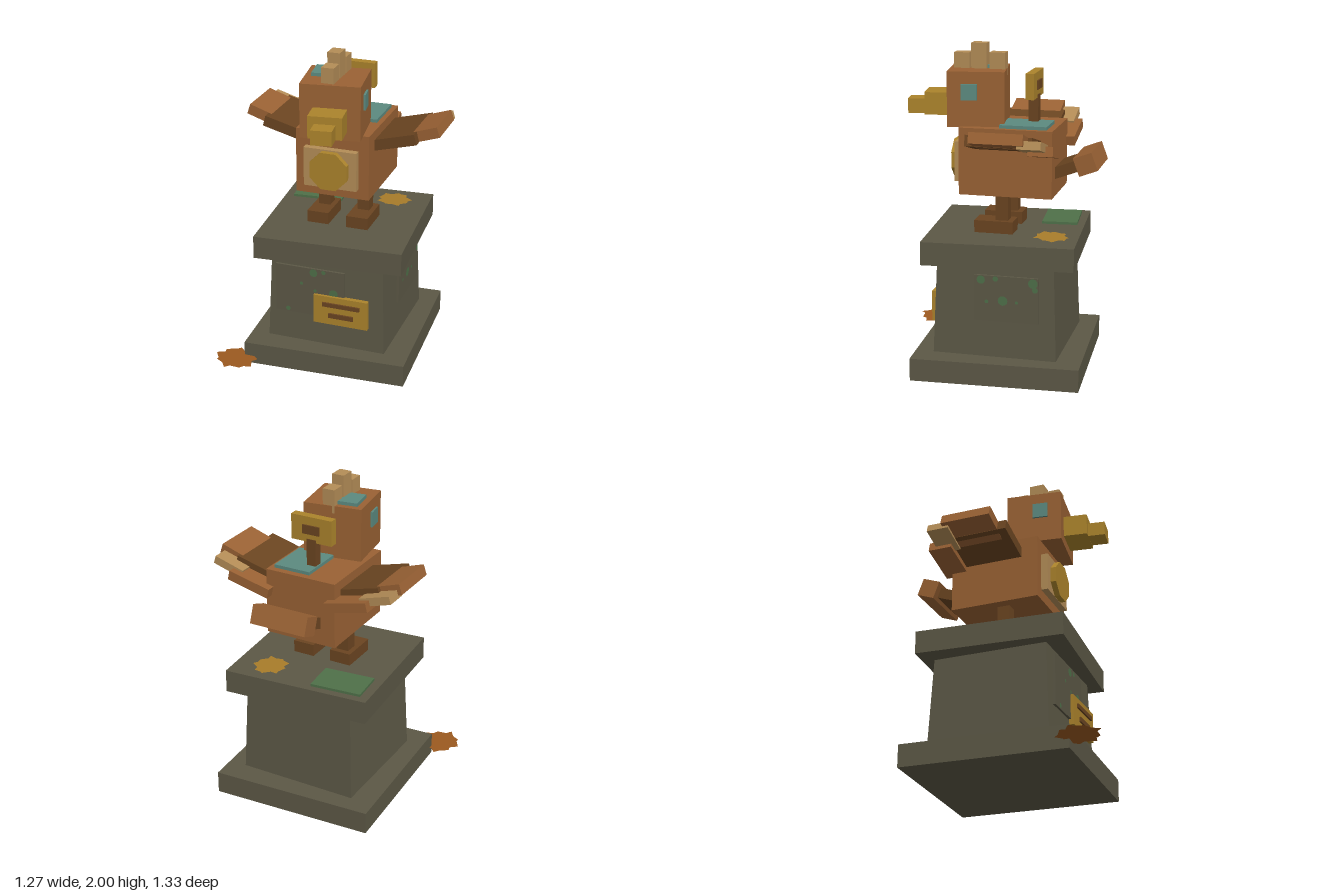
import * as THREE from 'three';

const mat = (name, color, side = THREE.FrontSide) => {
  const m = new THREE.MeshStandardMaterial({ color, side });
  m.name = name;
  return m;
};

export function createModel() {
  const stone = mat('stone', 0x5c5846);
  const copper = mat('copper', 0x9a6234);
  const brown = mat('dark brown', 0x6b4521);
  const tan = mat('tan', 0xb48d57);
  const gold = mat('gold', 0xac842c);
  const teal = mat('teal', 0x5c8a80);
  const moss = mat('moss', 0x4f7049);
  const rust = mat('rust leaf', 0x9c5a20, THREE.DoubleSide);
  const amber = mat('amber leaf', 0xa87c2a, THREE.DoubleSide);

  const root = new THREE.Group();
  root.name = 'birdStatue';
  const CX = 0.007, CZ = -0.081;

  const add = (parent, name, geo, material, pos = [0, 0, 0], rot = [0, 0, 0]) => {
    const m = new THREE.Mesh(geo, material);
    m.name = name;
    m.position.set(...pos);
    m.rotation.set(...rot);
    parent.add(m);
    return m;
  };
  const box = (parent, name, material, size, pos, rot) =>
    add(parent, name, new THREE.BoxGeometry(...size), material, pos, rot);

  // Pedestal: skewed base and cap slabs with a tapered shaft between
  box(root, 'pedestalBase', stone, [1.03, 0.14, 1.03], [CX, 0.07, CZ], [0, 0.052, 0]);
  box(root, 'pedestalCap', stone, [0.926, 0.143, 0.92], [CX, 0.793, CZ], [0, 0.073, 0]);
  const shaft = new THREE.CylinderGeometry(0.72 / Math.SQRT2, 0.765 / Math.SQRT2, 0.59, 4, 1)
    .rotateY(Math.PI / 4).toNonIndexed();
  shaft.computeVertexNormals();
  add(root, 'pedestalShaft', shaft, stone, [CX, 0.43, CZ]);

  // Stone panels with moss spots: [u, v, radius] from the panel centre
  const panel = (name, w, h, spots, pos, ry) => {
    const g = new THREE.Group();
    g.name = name;
    g.position.set(...pos);
    g.rotation.y = ry;
    box(g, 'panelSlab', stone, [w, h, 0.015], [0, 0, 0]);
    for (const [u, v, r] of spots)
      add(g, 'mossSpot', new THREE.CircleGeometry(r, 12), moss, [u, v, 0.009]);
    root.add(g);
  };
  panel('frontPanel', 0.45, 0.32, [[0.025, 0.133, 0.026], [0.09, 0.145, 0.014], [0.155, 0.01, 0.028],
    [-0.055, 0.05, 0.011], [0.035, 0.012, 0.011], [-0.145, -0.14, 0.015]], [-0.09, 0.5, 0.312], 0);
  panel('sidePanel', 0.395, 0.285, [[-0.155, 0.115, 0.026], [-0.02, -0.01, 0.03], [-0.065, 0.125, 0.017],
    [0.165, 0.11, 0.03], [0.178, 0.07, 0.018], [0.065, -0.015, 0.01], [-0.12, -0.02, 0.012]],
  [0.392, 0.513, -0.157], Math.PI / 2);

  // Plaque with two inlaid bars
  box(root, 'plaque', gold, [0.35, 0.19, 0.03], [0.115, 0.4, 0.323]);
  box(root, 'plaqueBarUpper', brown, [0.24, 0.027, 0.02], [0.12, 0.442, 0.339]);
  box(root, 'plaqueBarLower', brown, [0.16, 0.03, 0.02], [0.12, 0.37, 0.339]);

  // Moss patch and fallen leaves
  box(root, 'mossPatch', moss, [0.32, 0.016, 0.22], [-0.26, 0.872, -0.365], [0, 0.09, 0]);
  const leaf = (name, material, r, pos, rot) => {
    const s = new THREE.Shape();
    const n = 18;
    for (let i = 0; i < n; i++) {
      const a = (i / n) * Math.PI * 2 + 0.1 * Math.sin(i * 2.3);
      const k = r * ((i % 2 ? 0.82 : 1) + 0.07 * Math.sin(i * 1.7));
      s[i ? 'lineTo' : 'moveTo'](k * Math.cos(a), k * Math.sin(a));
    }
    s.closePath();
    add(root, name, new THREE.ShapeGeometry(s).rotateX(-Math.PI / 2), material, pos, rot);
  };
  leaf('groundLeaf', rust, 0.132, [-0.51, 0.058, 0.525], [-0.03, 0.3, -0.06]);
  leaf('capLeaf', amber, 0.108, [0.225, 0.874, -0.395], [0, 1, -0.04]);

  // Bird body, belly plate and medallion
  box(root, 'body', copper, [0.463, 0.41, 0.573], [CX, 1.31, -0.11]);
  box(root, 'bellyPlate', tan, [0.335, 0.245, 0.05], [CX, 1.293, 0.195]);
  const oct = new THREE.CylinderGeometry(0.127, 0.127, 0.04, 8).rotateY(Math.PI / 8)
    .rotateX(Math.PI / 2).toNonIndexed();
  oct.computeVertexNormals();
  add(root, 'bellyMedallion', oct, gold, [CX, 1.29, 0.235]);
  box(root, 'backPatch', teal, [0.237, 0.02, 0.29], [0.088, 1.525, -0.21]);

  // Legs, feet and mirrored wings
  for (const s of [1, -1]) {
    const side = new THREE.Group();
    side.name = s > 0 ? 'leftLimbs' : 'rightLimbs';
    side.position.x = CX;
    root.add(side);
    box(side, 'leg', brown, [0.076, 0.18, 0.08], [s * 0.128, 1.02, -0.075]);
    box(side, 'foot', brown, [0.138, 0.076, 0.24], [s * 0.128, 0.902, -0.03]);
    box(side, 'innerWing', brown, [0.3, 0.067, 0.4], [s * 0.338, 1.452, -0.13], [0, 0, s * 0.26]);
    box(side, 'outerWing', copper, [0.22, 0.066, 0.32], [s * 0.503, 1.499, -0.145], [0, 0, s * 0.32]);
    box(side, 'rearFeather', copper, [0.28, 0.06, 0.15], [s * 0.328, 1.412, -0.375], [0, 0, s * 0.23]);
    box(side, 'tipFeather', tan, [0.2, 0.05, 0.14], [s * 0.495, 1.473, -0.335], [0, 0, s * 0.29]);
  }

  // Head turned slightly to its left
  const head = new THREE.Group();
  head.name = 'headGroup';
  head.position.set(0.006, 0, 0.11);
  head.rotation.y = 0.146;
  root.add(head);
  box(head, 'head', copper, [0.365, 0.335, 0.346], [0, 1.678, 0]);
  box(head, 'beak', gold, [0.205, 0.137, 0.15], [0, 1.637, 0.246]);
  box(head, 'beakTip', gold, [0.127, 0.09, 0.115], [0, 1.615, 0.37]);
  for (const s of [1, -1])
    box(head, 'eye', teal, [0.018, 0.097, 0.096], [s * 0.186, 1.723, 0.04]);
  box(head, 'headPatch', teal, [0.165, 0.022, 0.16], [-0.06, 1.855, -0.055]);

  // Crest blocks: [z, top]
  for (const [z, top] of [[0.207, 1.94], [0.1, 2.0], [-0.014, 1.945]])
    box(root, 'crest', tan, [0.078, top - 1.8, 0.095], [0.006, (top + 1.8) / 2, z]);

  // Wind-up key on the back
  box(root, 'keyStem', brown, [0.06, 0.2, 0.06], [CX, 1.6, -0.237]);
  box(root, 'keyPlate', gold, [0.27, 0.157, 0.052], [CX, 1.76, -0.237]);
  box(root, 'keySlot', brown, [0.113, 0.055, 0.066], [CX, 1.76, -0.24]);

  // Tail rising backwards
  box(root, 'tailRoot', brown, [0.27, 0.068, 0.24], [CX, 1.268, -0.455], [0.36, 0, 0]);
  box(root, 'tailTip', copper, [0.365, 0.115, 0.118], [CX, 1.317, -0.587], [0.36, 0, 0]);

  return root;
}
